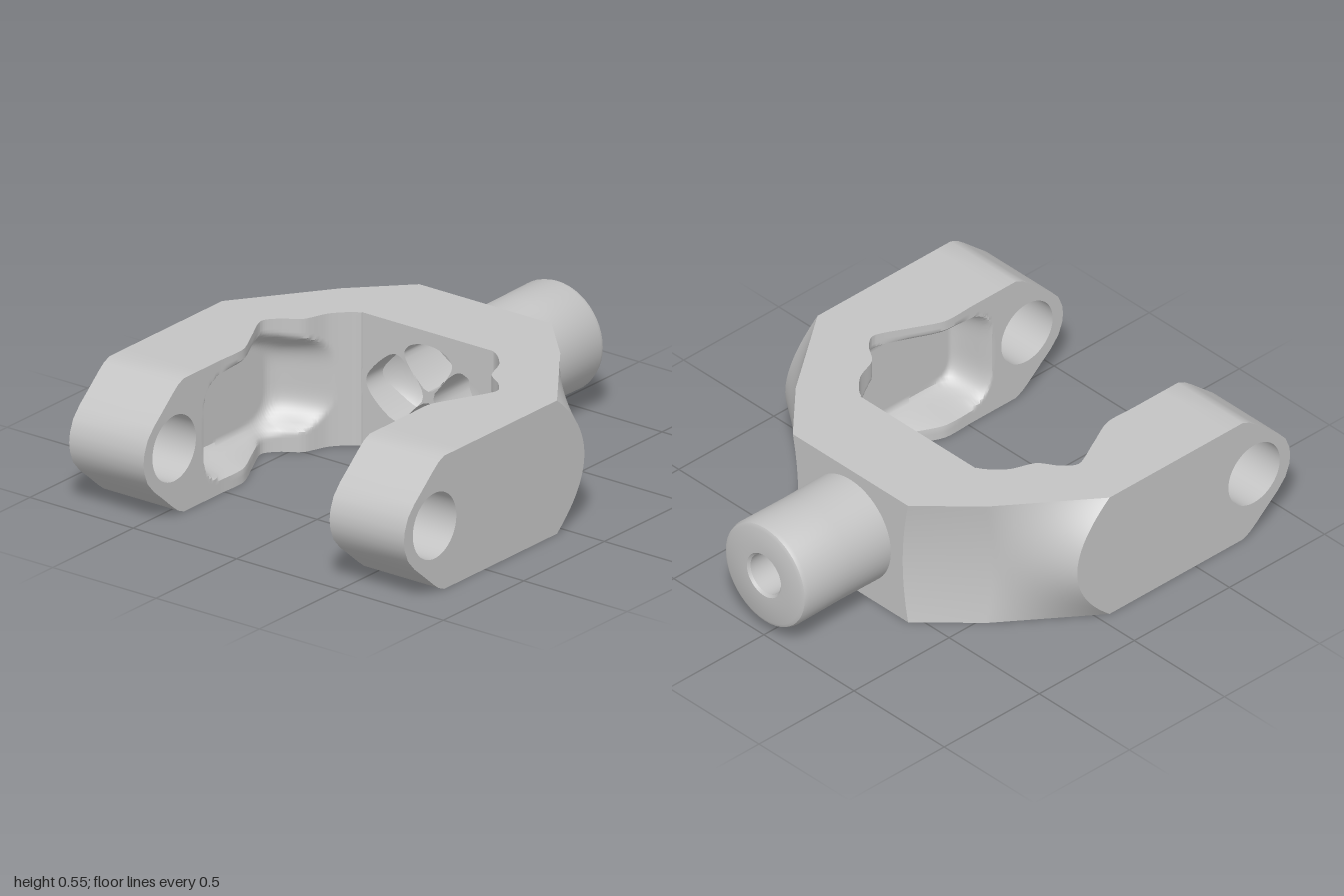
import * as THREE from 'three';
import { toCreasedNormals } from 'three/addons/utils/BufferGeometryUtils.js';

const H = 0.55, MID = 0.277, ARM_START = 0.66;
const steel = new THREE.MeshStandardMaterial({ color: 0xc4c4c4 });
steel.name = 'steelGrey';

// Half outlines seen from above, as [x, z], evenly spaced in t from 0 to 5
const OUTER_EDGE = [[0, -0.545], [0.32, -0.545], [0.53, -0.33], [0.81, 0.05], [0.81, 0.38], [0.81, ARM_START]];
const OUTER_MID = [[0, -0.545], [0.29, -0.545], [0.53, -0.305], [0.81, -0.12], [0.81, 0.38], [0.81, ARM_START]];
const INNER = new THREE.CatmullRomCurve3([[0, -0.19], [0.17, -0.19], [0.32, -0.185], [0.41, -0.105],
  [0.455, 0], [0.53, 0.055], [0.57, 0.12], [0.51, 0.25], [0.45, 0.38], [0.45, 0.52], [0.45, ARM_START]]
  .map(([x, z]) => new THREE.Vector3(x, 0, z)), false, 'catmullrom', 0.4);

function along(list, t) {
  const i = Math.min(Math.floor(t), list.length - 2), k = t - i;
  return [0, 1].map((c) => list[i][c] * (1 - k) + list[i + 1][c] * k);
}

// Outer wall bulges at mid height next to the flat arm sides
function outerPoint(t, y) {
  const w = 1 - ((y - H / 2) / (H / 2)) ** 2;
  const a = along(OUTER_EDGE, t), b = along(OUTER_MID, t);
  return [a[0] + (b[0] - a[0]) * w, a[1] + (b[1] - a[1]) * w];
}

// Inner wall with a recess in each arm, fading to the rear, and a bowl behind the pocket plate
function innerPoint(t, y) {
  let { x, z } = INNER.getPoint(t / 5);
  if (t < 0.98) {
    const d = (x / 0.32) ** 2 + ((y - MID) / 0.24) ** 2;
    z = -0.23 - 0.18 * Math.sqrt(Math.max(0, 1 - d));
  } else {
    const u = z > 0.25 ? ((z - 0.25) / 0.38) ** 6 : ((0.25 - z) / 0.38) ** 2;
    const d = u + ((y - MID) / 0.225) ** 4;
    x += Math.max(0, 0.62 - x) * THREE.MathUtils.smoothstep(1 - d, 0, 0.7);
  }
  return [x, z];
}

// Horseshoe body: closed cross-sections swept from one arm to the other
function bodyGeometry() {
  const NT = 320, NY = 40, ring = 2 * (NY + 1), pos = [], idx = [];
  for (let i = 0; i <= NT; i++) {
    const s = (i / NT) * 10 - 5, t = Math.abs(s), side = s < 0 ? -1 : 1;
    for (let j = 0; j < ring; j++) {
      const isOuter = j <= NY;
      const y = (H * (isOuter ? j : ring - 1 - j)) / NY;
      const [x, z] = isOuter ? outerPoint(t, y) : innerPoint(t, y);
      pos.push(side * x, y, z);
    }
  }
  for (let i = 0; i < NT; i++) {
    for (let j = 0; j < ring; j++) {
      const a = i * ring + j, b = i * ring + ((j + 1) % ring);
      idx.push(a, b, a + ring, b, b + ring, a + ring);
    }
  }
  const g = new THREE.BufferGeometry();
  g.setAttribute('position', new THREE.Float32BufferAttribute(pos, 3));
  g.setIndex(idx);
  return toCreasedNormals(g, 0.7);
}

// Front plate pierced by four petals, leaving thin crossed webs
function pocketGeometry() {
  const shape = new THREE.Shape();
  shape.moveTo(-0.32, 0).lineTo(0.32, 0).lineTo(0.32, H).lineTo(-0.32, H);
  const sidePetal = [[0.025, 0], [0.115, 0.12], [0.165, 0.14], [0.28, 0.045], [0.3, 0],
    [0.28, -0.05], [0.165, -0.135], [0.115, -0.12]];
  const topPetal = [[0, 0.025], [0.115, 0.148], [0.1, 0.185], [0.04, 0.212], [-0.04, 0.212],
    [-0.1, 0.185], [-0.115, 0.148]];
  const addPetal = (pts, sx, sy) => {
    const curve = new THREE.CatmullRomCurve3(
      pts.map(([x, y]) => new THREE.Vector3(x * sx, MID + y * sy, 0)), true);
    shape.holes.push(new THREE.Path(
      curve.getPoints(40).slice(0, -1).map((p) => new THREE.Vector2(p.x, p.y))));
  };
  addPetal(sidePetal, 1, 1);
  addPetal(sidePetal, -1, 1);
  addPetal(topPetal, 1, 1);
  addPetal(topPetal, 1, -0.87);
  const g = new THREE.ExtrudeGeometry(shape, { depth: 0.23, bevelEnabled: false });
  g.translate(0, 0, -0.42);
  return toCreasedNormals(g, 0.6);
}

// Arm end: tapered, rounded nose with a round cross hole
function armGeometry() {
  const upper = [[1, 0.275], [0.995, 0.315], [0.975, 0.365], [0.935, 0.41], [0.885, 0.452],
    [0.82, 0.508], [0.785, 0.535], [0.75, H]];
  const shape = new THREE.Shape();
  shape.moveTo(ARM_START, 0);
  [...upper].reverse().forEach(([z, y]) => shape.lineTo(z, H - y));
  upper.slice(1).forEach(([z, y]) => shape.lineTo(z, y));
  shape.lineTo(ARM_START, H);
  const hole = new THREE.Path();
  hole.absarc(0.81, 0.28, 0.135, 0, Math.PI * 2, true);
  shape.holes.push(hole);
  const g = new THREE.ExtrudeGeometry(shape, { depth: 0.36, bevelEnabled: false, curveSegments: 40 });
  g.rotateY(-Math.PI / 2);
  return toCreasedNormals(g, 0.6);
}

// Rear shaft with a blind bore
function shaftGeometry() {
  const profile = [[0, -0.75], [0.085, -0.75], [0.085, -0.99], [0.095, -1], [0.205, -1],
    [0.219, -0.993], [0.225, -0.975], [0.222, -0.75], [0.225, -0.5]];
  const g = new THREE.LatheGeometry(profile.map(([r, z]) => new THREE.Vector2(r, z)), 48);
  g.rotateX(Math.PI / 2);
  g.translate(0, 0.28, 0);
  return toCreasedNormals(g, 0.6);
}

export function createModel() {
  const model = new THREE.Group();
  model.name = 'yoke';
  const add = (name, geometry, x = 0) => {
    const mesh = new THREE.Mesh(geometry, steel);
    mesh.name = name;
    mesh.position.x = x;
    model.add(mesh);
  };
  add('forkBody', bodyGeometry());
  add('pocketPlate', pocketGeometry());
  const arm = armGeometry();
  add('leftArmEnd', arm, 0.81);
  add('rightArmEnd', arm, -0.45);
  add('shaft', shaftGeometry());
  return model;
}
